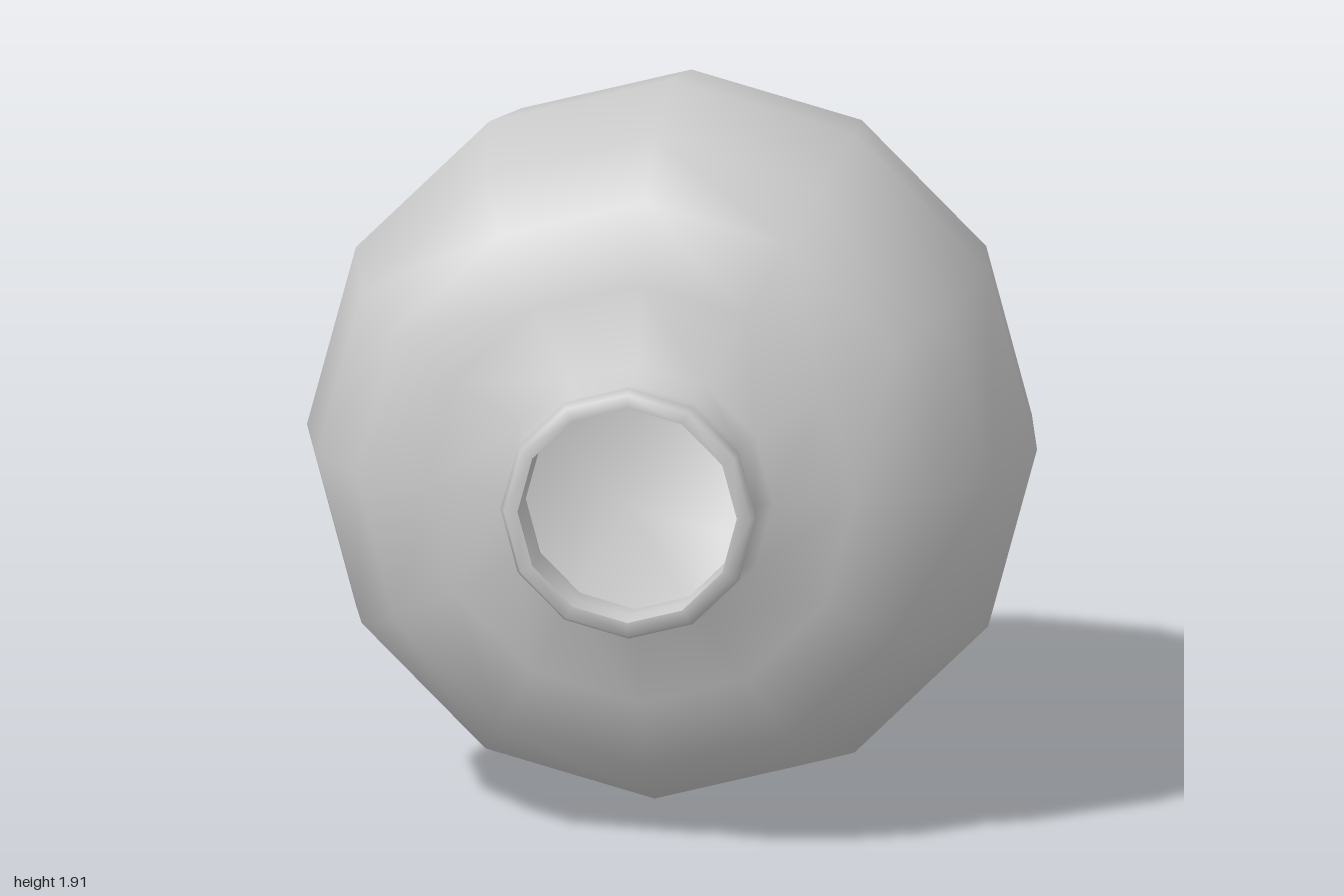
import * as THREE from 'three';

const SIDES = 12;
const AXIS_HEIGHT = 0.955;

// Spins a profile of [radius, z] pairs around the horizontal z axis
function spin(name, profile) {
  const points = profile.map(([r, z]) => new THREE.Vector2(r, z));
  const geometry = new THREE.LatheGeometry(points, SIDES);
  geometry.rotateX(Math.PI / 2);
  const material = new THREE.MeshStandardMaterial({ color: 0xcccccc, side: THREE.DoubleSide });
  const mesh = new THREE.Mesh(geometry, material);
  mesh.name = name;
  mesh.position.y = AXIS_HEIGHT;
  return mesh;
}

export function createModel() {
  const group = new THREE.Group();
  group.name = 'pot';

  // Outer wall: flat base at the back, round belly, narrow neck and lip
  group.add(spin('outerWall', [
    [0, -1], [0.28, -1], [0.53, -0.8], [0.735, -0.54], [0.89, -0.2],
    [0.955, 0.165], [0.885, 0.49], [0.755, 0.68], [0.56, 0.77],
    [0.355, 0.81], [0.318, 0.87], [0.312, 0.94], [0.335, 0.975],
    [0.322, 1], [0.287, 1],
  ]));

  // Inner wall: from the mouth back to the inside of the base
  group.add(spin('innerWall', [
    [0.287, 1], [0.282, 0.94], [0.285, 0.86], [0.32, 0.78], [0.54, 0.735],
    [0.725, 0.65], [0.845, 0.47], [0.915, 0.165], [0.85, -0.19],
    [0.7, -0.52], [0.5, -0.77], [0.26, -0.96], [0, -0.96],
  ]));

  return group;
}
